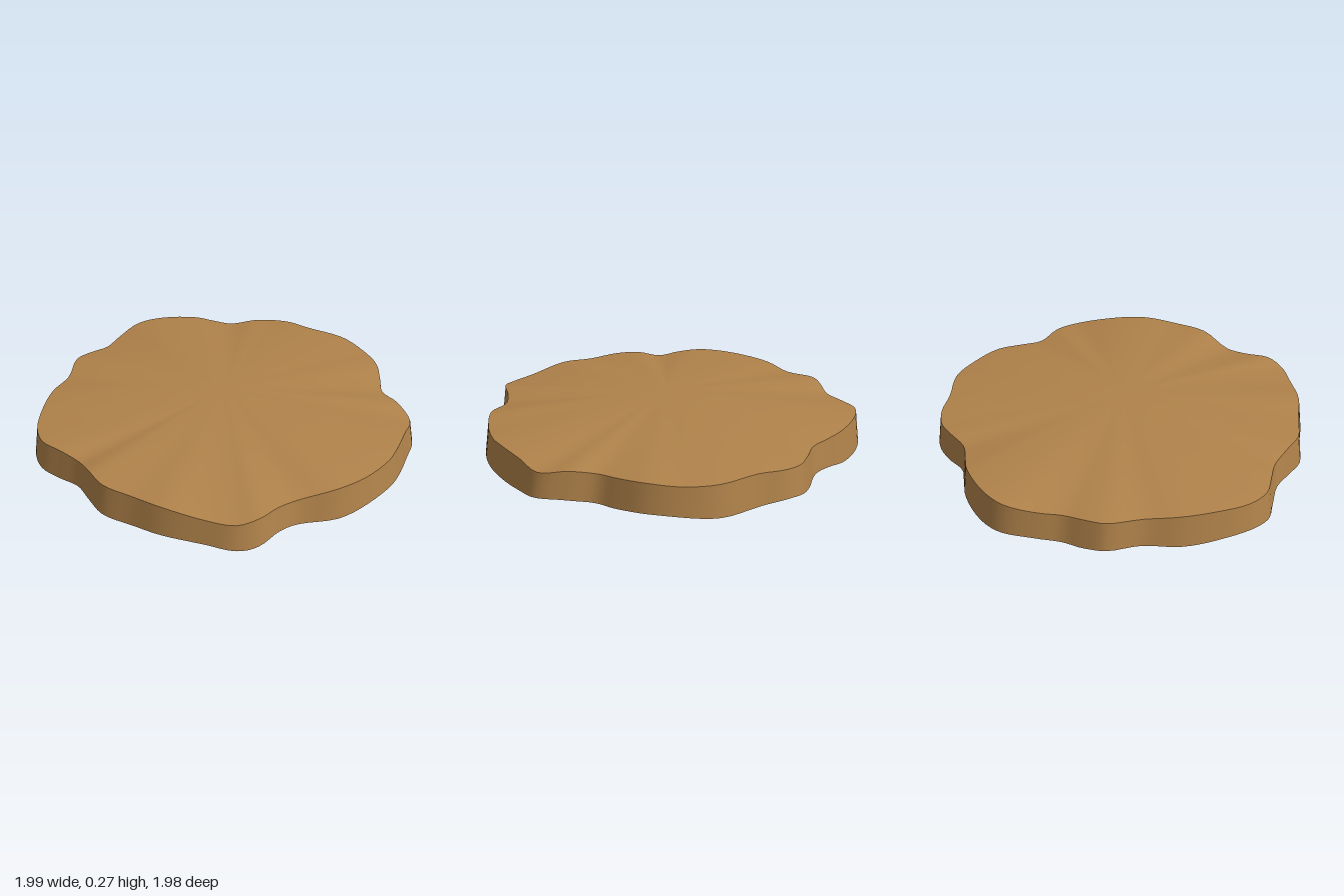
import * as THREE from 'three';

// Control points of the wavy outline: x, z, height of the upper rim
const OUTLINE = [
  [0.19, -0.99, 0.16], [0.3, -0.965, 0.165], [0.42, -0.895, 0.17], [0.62, -0.81, 0.165],
  [0.74, -0.68, 0.16], [0.82, -0.52, 0.165], [0.84, -0.37, 0.155], [0.85, -0.25, 0.15],
  [0.93, -0.13, 0.16], [0.995, 0.01, 0.14], [0.96, 0.16, 0.16], [0.915, 0.32, 0.17],
  [0.87, 0.43, 0.17], [0.755, 0.575, 0.165], [0.61, 0.695, 0.17], [0.42, 0.765, 0.145],
  [0.325, 0.84, 0.15], [0.235, 0.945, 0.155], [0.13, 0.985, 0.14], [-0.02, 0.965, 0.145],
  [-0.235, 0.915, 0.17], [-0.395, 0.835, 0.165], [-0.555, 0.76, 0.17], [-0.64, 0.66, 0.175],
  [-0.715, 0.555, 0.155], [-0.82, 0.485, 0.165], [-0.93, 0.41, 0.165], [-0.985, 0.295, 0.165],
  [-0.995, 0.11, 0.17], [-0.975, -0.07, 0.17], [-0.92, -0.24, 0.16], [-0.905, -0.42, 0.17],
  [-0.84, -0.51, 0.165], [-0.76, -0.595, 0.155], [-0.7, -0.72, 0.16], [-0.61, -0.855, 0.175],
  [-0.475, -0.925, 0.18], [-0.27, -0.957, 0.175], [-0.155, -0.94, 0.165], [-0.05, -0.925, 0.16],
  [0.085, -0.97, 0.165],
];
const SEGMENTS = 164;

function makeGeometry(points, indices) {
  const g = new THREE.BufferGeometry().setFromPoints(points);
  g.setIndex(indices);
  g.computeVertexNormals();
  return g;
}

// Fan of triangles from a centre point to a closed ring
function fan(center, ring, facingUp) {
  const n = ring.length, idx = [];
  for (let i = 0; i < n; i++) {
    const a = i + 1, b = (i + 1) % n + 1;
    idx.push(0, ...(facingUp ? [b, a] : [a, b]));
  }
  return makeGeometry([center, ...ring], idx);
}

// Smooth band between two closed rings
function band(lower, upper) {
  const n = lower.length, idx = [];
  for (let i = 0; i < n; i++) {
    const j = (i + 1) % n;
    idx.push(i, n + i, j, j, n + i, n + j);
  }
  return makeGeometry([...lower, ...upper], idx);
}

export function createModel() {
  const group = new THREE.Group();
  group.name = 'wavyDisc';
  const brown = new THREE.MeshStandardMaterial({ color: 0xb0824a });
  brown.name = 'warm brown';

  const curve = new THREE.CatmullRomCurve3(
    OUTLINE.map(([x, z, y]) => new THREE.Vector3(x, y, z)), true, 'centripetal');
  const samples = curve.getPoints(SEGMENTS).slice(0, SEGMENTS);

  // The upper rim sits slightly inside the gently rippled lower rim
  const upper = samples.map(p => new THREE.Vector3(p.x * 0.98 - 0.001, p.y, p.z * 0.98 - 0.001));
  const lower = samples.map((p, i) => new THREE.Vector3(
    p.x, 0.009 + 0.008 * Math.sin(i / SEGMENTS * Math.PI * 2 * 11), p.z));

  const add = (name, geometry) => {
    const mesh = new THREE.Mesh(geometry, brown);
    mesh.name = name;
    group.add(mesh);
  };
  add('topSurface', fan(new THREE.Vector3(-0.01, 0.272, -0.025), upper, true));
  add('sideWall', band(lower, upper));
  add('underside', fan(new THREE.Vector3(-0.01, 0, -0.025), lower, false));
  return group;
}
